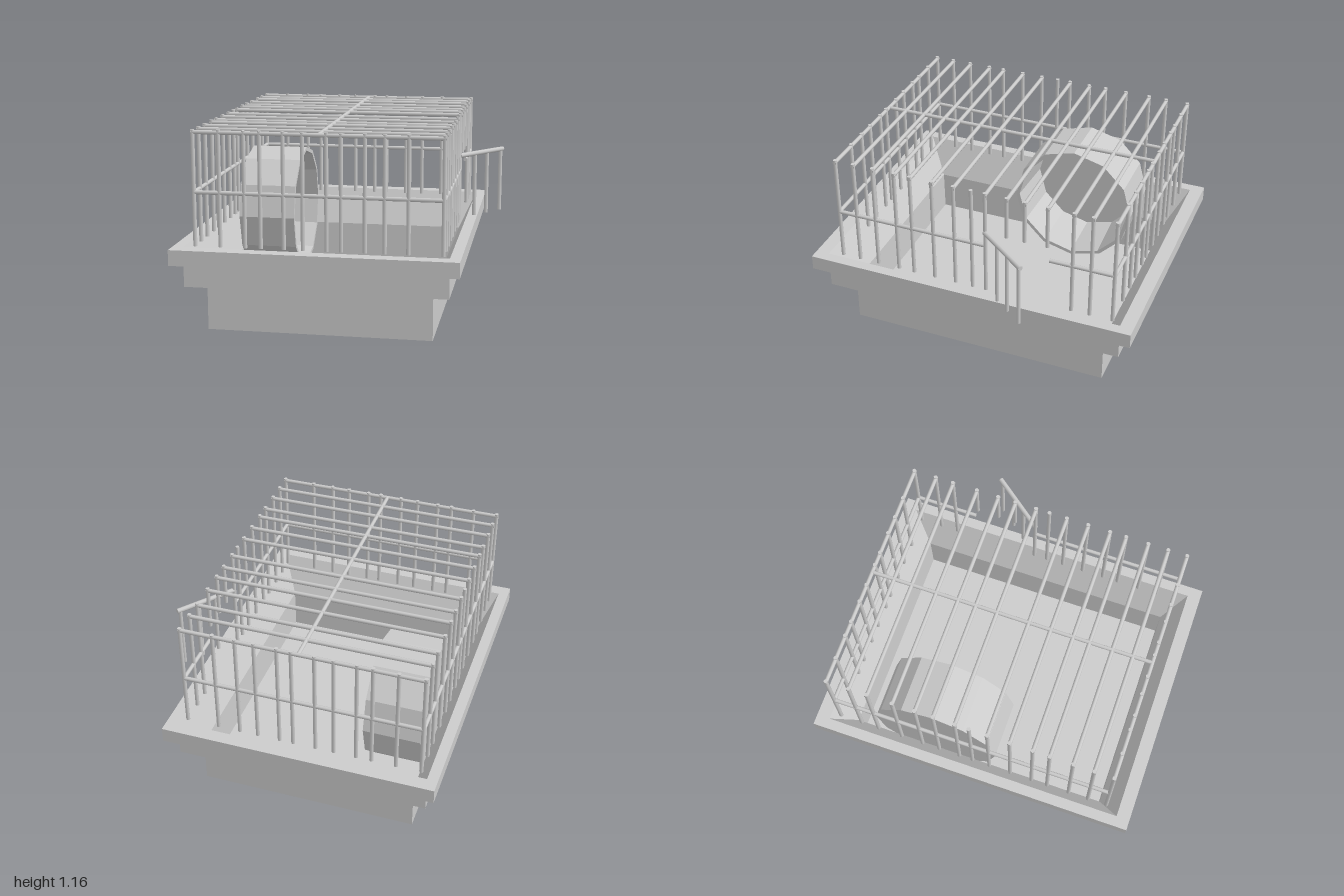
import * as THREE from 'three';

const material = new THREE.MeshStandardMaterial({ color: 0xcccccc });
const flat = new THREE.MeshStandardMaterial({ color: 0xcccccc, flatShading: true });

const CX = -0.075;                   // tray centre in x
const LEFT = 0.63, RIGHT = -0.775;   // side walls of bars
const FRONT = 0.84, BACK = -0.862;   // end walls of bars
const TOP = 1.15, MID = 0.81, FOOT = 0.5;

// Round bar between two points
function bar(parent, name, a, b, radius = 0.012) {
  const from = new THREE.Vector3(...a), to = new THREE.Vector3(...b);
  const dir = to.clone().sub(from);
  const mesh = new THREE.Mesh(new THREE.CylinderGeometry(radius, radius, dir.length(), 8), material);
  mesh.position.copy(from).add(to).multiplyScalar(0.5);
  mesh.quaternion.setFromUnitVectors(new THREE.Vector3(0, 1, 0), dir.normalize());
  mesh.name = name;
  parent.add(mesh);
}

// Stepped hollow tray: rectangular sections [half x, half z, y] joined in order
function trayGeometry() {
  const sections = [
    [0.648, 0.80, 0], [0.648, 0.80, 0.28], [0.748, 0.92, 0.28], [0.748, 0.92, 0.42],
    [0.81, 1, 0.42], [0.81, 1, 0.51], [0.748, 0.92, 0.51], [0.645, 0.797, 0.285], [0.64, 0.79, 0.04],
  ];
  const corners = [[1, 1], [1, -1], [-1, -1], [-1, 1]];
  const rings = sections.map(([hx, hz, y]) => corners.map(([sx, sz]) => [CX + sx * hx, y, sz * hz]));
  const out = [];
  const quad = (a, b, c, d) => out.push(...a, ...b, ...c, ...a, ...c, ...d);
  for (let i = 0; i < rings.length - 1; i++) {
    for (let k = 0; k < 4; k++) {
      const n = (k + 1) % 4;
      quad(rings[i][k], rings[i][n], rings[i + 1][n], rings[i + 1][k]);
    }
  }
  quad(...rings[0].slice().reverse());   // underside
  quad(...rings[rings.length - 1]);      // floor
  const geometry = new THREE.BufferGeometry();
  geometry.setAttribute('position', new THREE.Float32BufferAttribute(out, 3));
  geometry.computeVertexNormals();
  return geometry;
}

export function createModel() {
  const model = new THREE.Group();
  model.name = 'cage';

  const tray = new THREE.Mesh(trayGeometry(), flat);
  tray.name = 'tray';
  model.add(tray);

  // Running wheel: twelve-sided drum, open towards +x
  const profile = [[0, 0], [0.385, 0], [0.385, 0.345], [0.362, 0.345], [0.345, 0.015], [0, 0.015]]
    .map(([r, h]) => new THREE.Vector2(r, h));
  const wheel = new THREE.Mesh(new THREE.LatheGeometry(profile, 12), flat);
  wheel.name = 'runningWheel';
  wheel.rotation.z = -Math.PI / 2;
  wheel.position.set(-0.715, 0.512, -0.27);
  model.add(wheel);

  // Side walls and roof: the bars above the doorway stop short
  const sides = new THREE.Group();
  sides.name = 'sideBars';
  model.add(sides);
  const rows = [FRONT, 0.725, 0.603, 0.467, 0.368, 0.233, 0.1, -0.092, -0.222, -0.33, -0.465, -0.616, -0.726, BACK];
  for (const z of rows) {
    const overDoor = z < -0.2 && z > -0.5;
    bar(sides, 'rightBar', [RIGHT, FOOT, z], [RIGHT, 1.165, z]);
    bar(sides, 'leftBar', [LEFT, overDoor ? 0.9 : FOOT, z], [LEFT, 1.165, z]);
    bar(sides, 'roofBar', [RIGHT - 0.01, TOP, z], [LEFT + 0.01, TOP, z]);
  }
  for (const x of [LEFT, RIGHT]) bar(sides, 'sideBar', [x, FOOT, -0.008], [x, 1.165, -0.008]);

  // Front and back walls
  const ends = new THREE.Group();
  ends.name = 'endBars';
  model.add(ends);
  for (const z of [FRONT, BACK]) {
    for (const x of [-0.628, -0.485, -0.395, -0.263, -0.154, -0.02, 0.062, 0.195, 0.305, 0.437]) {
      bar(ends, 'endBar', [x, FOOT, z], [x, 1.165, z]);
    }
    bar(ends, 'endRail', [RIGHT, MID, z], [LEFT, MID, z]);
  }

  // Long rails, broken at the doorway
  const rails = new THREE.Group();
  rails.name = 'rails';
  model.add(rails);
  bar(rails, 'roofRail', [-0.063, TOP, FRONT], [-0.063, TOP, BACK]);
  bar(rails, 'rightRail', [RIGHT, MID, FRONT], [RIGHT, MID, BACK]);
  bar(rails, 'leftFrontRail', [LEFT, MID, FRONT], [LEFT, MID, -0.092]);
  bar(rails, 'leftBackRail', [LEFT, MID, -0.48], [LEFT, MID, BACK]);

  // Door, swung outwards
  const door = new THREE.Group();
  door.name = 'door';
  model.add(door);
  const hinge = new THREE.Vector3(LEFT, 0.9, -0.088), tip = new THREE.Vector3(0.872, 0.9, -0.4);
  bar(door, 'doorRail', hinge.toArray(), tip.toArray(), 0.015);
  for (const t of [0.35, 0.63, 0.95]) {
    const p = hinge.clone().lerp(tip, t);
    bar(door, 'doorBar', [p.x, 0.51, p.z], [p.x, 0.9, p.z]);
  }
  return model;
}
